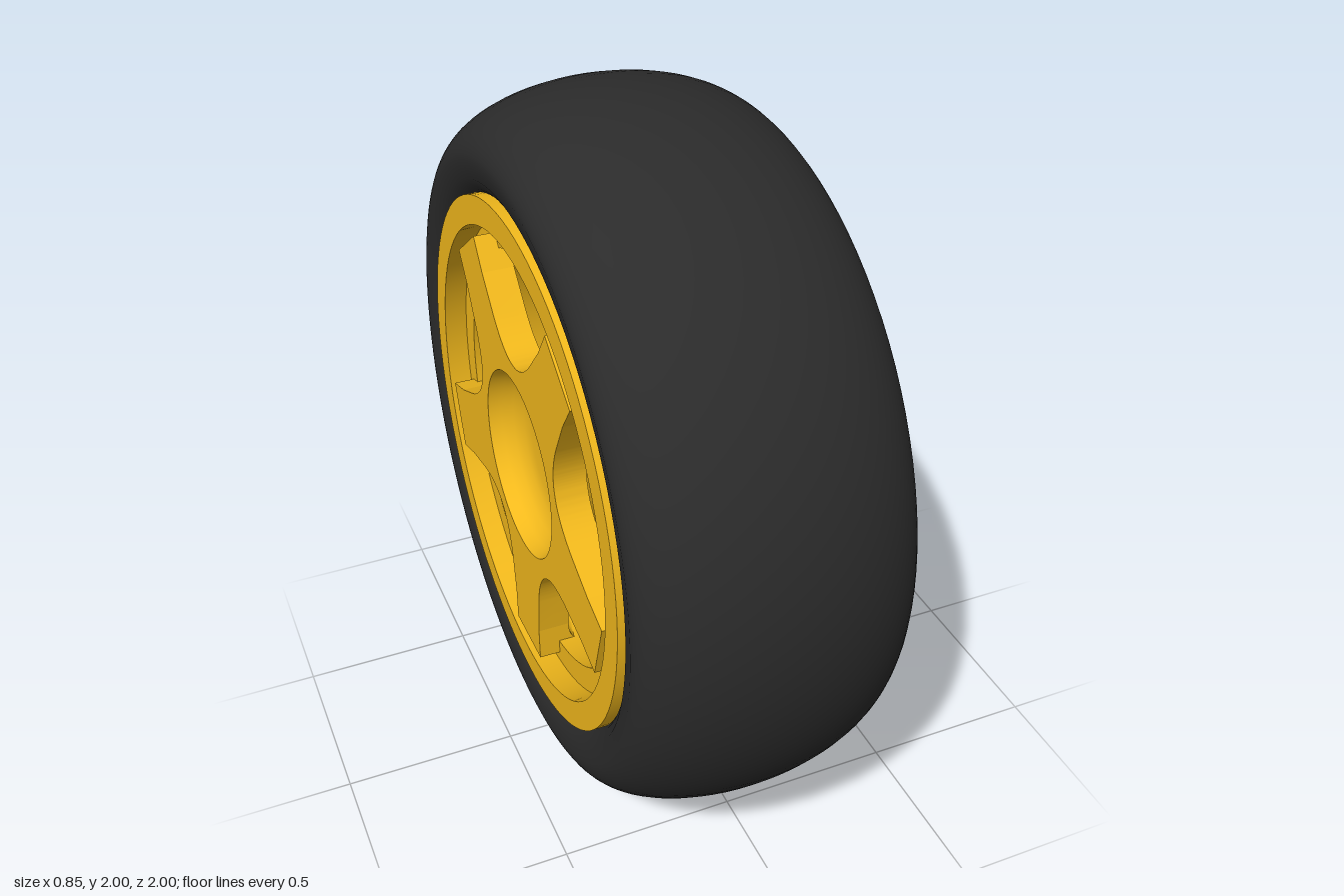
import * as THREE from 'three';
import { toCreasedNormals } from 'three/addons/utils/BufferGeometryUtils.js';

const yellow = new THREE.MeshStandardMaterial({ color: 0xf2b91c });
const black = new THREE.MeshStandardMaterial({ color: 0x2b2b2b });

// Revolve a closed [radius, x] profile around the x axis
function revolve(profile, crease = 0.6) {
  const points = profile.map(([r, x]) => new THREE.Vector2(r, x));
  const geometry = new THREE.LatheGeometry(points, 96).rotateZ(-Math.PI / 2);
  return toCreasedNormals(geometry, crease);
}

// Extrude a (z, y) shape along x, starting at x0
function extrudeAlongX(shape, x0, depth) {
  const geometry = new THREE.ExtrudeGeometry(shape, { depth, bevelEnabled: false, curveSegments: 32 });
  geometry.rotateY(Math.PI / 2).translate(x0, 0, 0);
  return toCreasedNormals(geometry, 0.6);
}

export function createModel() {
  const wheel = new THREE.Group();
  wheel.name = 'wheel';
  wheel.position.y = 1;
  const add = (name, geometry, material = yellow) => {
    const mesh = new THREE.Mesh(geometry, material);
    mesh.name = name;
    wheel.add(mesh);
    return mesh;
  };

  // Tyre: elliptical tread with side walls curling in to the rim
  const mid = -0.0565, half = 0.3725;
  const tyre = [[0.735, mid - 0.33], [0.75, mid - 0.345], [0.78, mid - 0.364]];
  for (let i = 0; i <= 32; i++) {
    const a = -Math.PI / 2 + (i / 32) * Math.PI;
    tyre.push([0.83 + 0.17 * Math.cos(a), mid + half * Math.sin(a)]);
  }
  tyre.push([0.78, mid + 0.364], [0.75, mid + 0.345], [0.735, mid + 0.33], [0.735, mid - 0.33]);
  add('tyre', revolve(tyre, 0.9), black);

  // Rim barrel with the inner flange that carries the spokes
  add('rim', revolve([
    [0.74, -0.425], [0.74, 0.32], [0.66, 0.32], [0.66, -0.29], [0.585, -0.29],
    [0.585, -0.36], [0.66, -0.36], [0.66, -0.425], [0.74, -0.425],
  ]));

  // Five-pointed spoke plate, each valley rounded
  const face = -0.42, back = -0.33, tipR = 0.52, step = (Math.PI * 2) / 5;
  const halfWidth = (r) => 0.1 + (tipR - r) * 0.12;
  const star = new THREE.Shape();
  for (let i = 0; i < 5; i++) {
    const a = -Math.PI / 2 + i * step;
    const at = (r, w, ang = a) => [
      r * Math.cos(ang) - w * Math.sin(ang),
      r * Math.sin(ang) + w * Math.cos(ang),
    ];
    const start = at(tipR, -halfWidth(tipR));
    if (i === 0) star.moveTo(...start); else star.lineTo(...start);
    star.lineTo(...at(tipR, halfWidth(tipR)));
    star.lineTo(...at(0.4, halfWidth(0.4)));
    star.quadraticCurveTo(...at(0.296, 0.132), ...at(0.32, 0, a + step / 2));
    star.quadraticCurveTo(...at(0.296, -0.132, a + step), ...at(0.4, -halfWidth(0.4), a + step));
  }
  star.closePath();
  star.holes.push(new THREE.Path().absarc(0, 0, 0.265, 0, Math.PI * 2, true));
  add('spokePlate', extrudeAlongX(star, face, back - face));

  // Spoke feet: curved ends that turn back to the flange
  const foot = new THREE.Shape();
  foot.moveTo(face, -tipR);
  foot.lineTo(face, -0.62);
  foot.lineTo(-0.29, -0.62);
  foot.lineTo(-0.29, -0.585);
  foot.quadraticCurveTo(back, -0.585, back, -tipR);
  foot.closePath();
  const footGeometry = toCreasedNormals(
    new THREE.ExtrudeGeometry(foot, { depth: 0.2, bevelEnabled: false }).translate(0, 0, -0.1), 0.6);
  for (let i = 0; i < 5; i++) add('spokeFoot', footGeometry).rotation.x = i * step;

  // Dished centre: bowl on the outside, raised cone on the inside
  add('centreDish', revolve([
    [0, -0.33], [0.15, -0.33], [0.19, -0.338], [0.225, -0.358], [0.25, -0.385], [0.265, face],
    [0.28, face], [0.294, back], [0.24, -0.26], [0, -0.26],
  ]));

  // Axle hub with a blind, flat-sided socket
  const socketFloor = 0.05, end = 0.425;
  add('hubCore', revolve([[0, -0.27], [0.2, -0.27], [0.2, socketFloor], [0, socketFloor]]));
  const sleeve = new THREE.Shape().absarc(0, 0, 0.2, 0, Math.PI * 2, false);
  const flat = Math.asin(0.06 / 0.08);
  const socket = new THREE.Path();
  socket.absarc(0, 0, 0.08, flat, -flat, true);
  socket.absarc(0, 0, 0.08, Math.PI + flat, Math.PI - flat, true);
  socket.closePath();
  sleeve.holes.push(socket);
  add('hubSleeve', extrudeAlongX(sleeve, socketFloor, end - socketFloor));

  const model = new THREE.Group();
  model.name = 'spokedWheel';
  model.add(wheel);
  return model;
}
